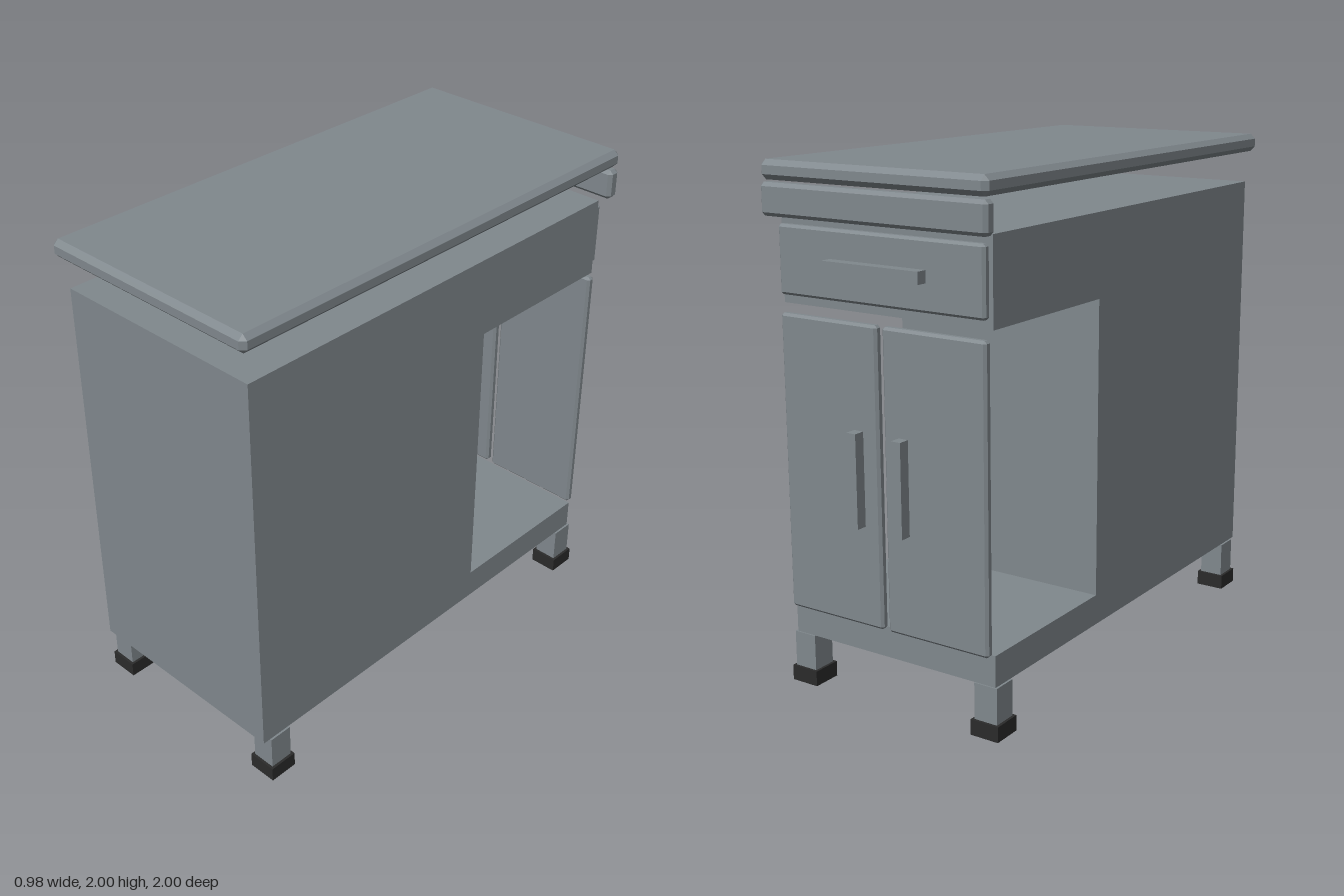
import * as THREE from 'three';
import { ConvexGeometry } from 'three/addons/geometries/ConvexGeometry.js';

const metal = new THREE.MeshStandardMaterial({ color: 0x80888d, side: THREE.DoubleSide });
metal.name = 'greyMetal';
const rubber = new THREE.MeshStandardMaterial({ color: 0x2b2b2b });
rubber.name = 'blackRubber';

// Box with chamfered edges: each corner becomes three points
function chamferBox(w, h, d, c) {
  const half = [w / 2, h / 2, d / 2];
  const points = [];
  for (const sx of [-1, 1]) for (const sy of [-1, 1]) for (const sz of [-1, 1]) {
    for (let full = 0; full < 3; full++) {
      const p = [sx, sy, sz].map((s, i) => s * (half[i] - (i === full ? 0 : c)));
      points.push(new THREE.Vector3(...p));
    }
  }
  return new ConvexGeometry(points);
}

export function createModel() {
  const model = new THREE.Group();
  model.name = 'cabinetTable';

  const add = (name, geometry, x, y, z, material = metal, parent = model) => {
    const mesh = new THREE.Mesh(geometry, material);
    mesh.name = name;
    mesh.position.set(x, y, z);
    parent.add(mesh);
    return mesh;
  };

  // Worktop and rail under its rear edge
  add('worktop', chamferBox(0.98, 0.072, 2, 0.02), 0, 1.964, 0);
  add('rearRail', chamferBox(0.98, 0.12, 0.056, 0.014), 0, 1.86, -0.972);

  // Sheet-metal body, open underneath, with a shelf bay passing through the rear
  const body = new THREE.Group();
  body.name = 'body';
  model.add(body);
  const halfWidth = 0.46;
  const front = 0.96, back = -0.92, bay = -0.24;
  const bottom = 0.2, floor = 0.32, ceiling = 1.48, top = 1.8;
  const outline = [
    [front, bottom], [front, top], [back, top], [back, ceiling], [bay, ceiling],
    [bay, floor], [back, floor], [back, bottom],
  ];
  const sideShape = new THREE.Shape(outline.map(([z, y]) => new THREE.Vector2(-z, y)));
  for (const s of [-1, 1]) {
    const side = add('sidePanel', new THREE.ShapeGeometry(sideShape), s * halfWidth, 0, 0, metal, body);
    side.rotation.y = Math.PI / 2;
  }
  // Cross panels follow the outline, leaving the underside open
  const crossPanels = ['frontPanel', 'topPanel', 'rearUpperPanel', 'bayCeiling', 'bayWall', 'bayFloor', 'rearSkirt'];
  crossPanels.forEach((name, i) => {
    const [z0, y0] = outline[i], [z1, y1] = outline[i + 1];
    const length = Math.hypot(z1 - z0, y1 - y0);
    const panel = add(name, new THREE.PlaneGeometry(halfWidth * 2, length), 0, (y0 + y1) / 2, (z0 + z1) / 2, metal, body);
    panel.rotation.x = Math.atan2(z1 - z0, y1 - y0);
  });
  // Lower edge of the bay wall
  add('bayWallSkirt', new THREE.PlaneGeometry(halfWidth * 2, floor - bottom), 0, (floor + bottom) / 2, bay, metal, body);

  // Drawer with a horizontal pull
  add('drawerFront', chamferBox(0.9, 0.255, 0.036, 0.01), 0, 1.643, -0.938);
  add('drawerHandle', new THREE.BoxGeometry(0.42, 0.045, 0.046), 0, 1.642, -0.977);

  // Pair of doors with upright pulls
  for (const s of [-1, 1]) {
    add('door', chamferBox(0.44, 1.13, 0.036, 0.01), s * 0.232, 0.883, -0.938);
    add('doorHandle', new THREE.BoxGeometry(0.04, 0.355, 0.046), s * 0.1, 0.882, -0.977);
  }

  // Legs with rubber feet, each foot having a small square socket below
  const square = (r) => [[-r, -r], [r, -r], [r, r], [-r, r]].map(([x, y]) => new THREE.Vector2(x, y));
  const footShape = new THREE.Shape(square(0.059));
  footShape.holes.push(new THREE.Path(square(0.025).reverse()));
  const footGeometry = new THREE.ExtrudeGeometry(footShape, { depth: 0.06, bevelEnabled: false });
  footGeometry.rotateX(-Math.PI / 2);
  for (const x of [-0.42, 0.42]) for (const z of [-0.877, 0.88]) {
    add('leg', new THREE.BoxGeometry(0.097, 0.14, 0.097), x, 0.13, z);
    add('foot', footGeometry, x, 0, z, rubber);
  }

  return model;
}
